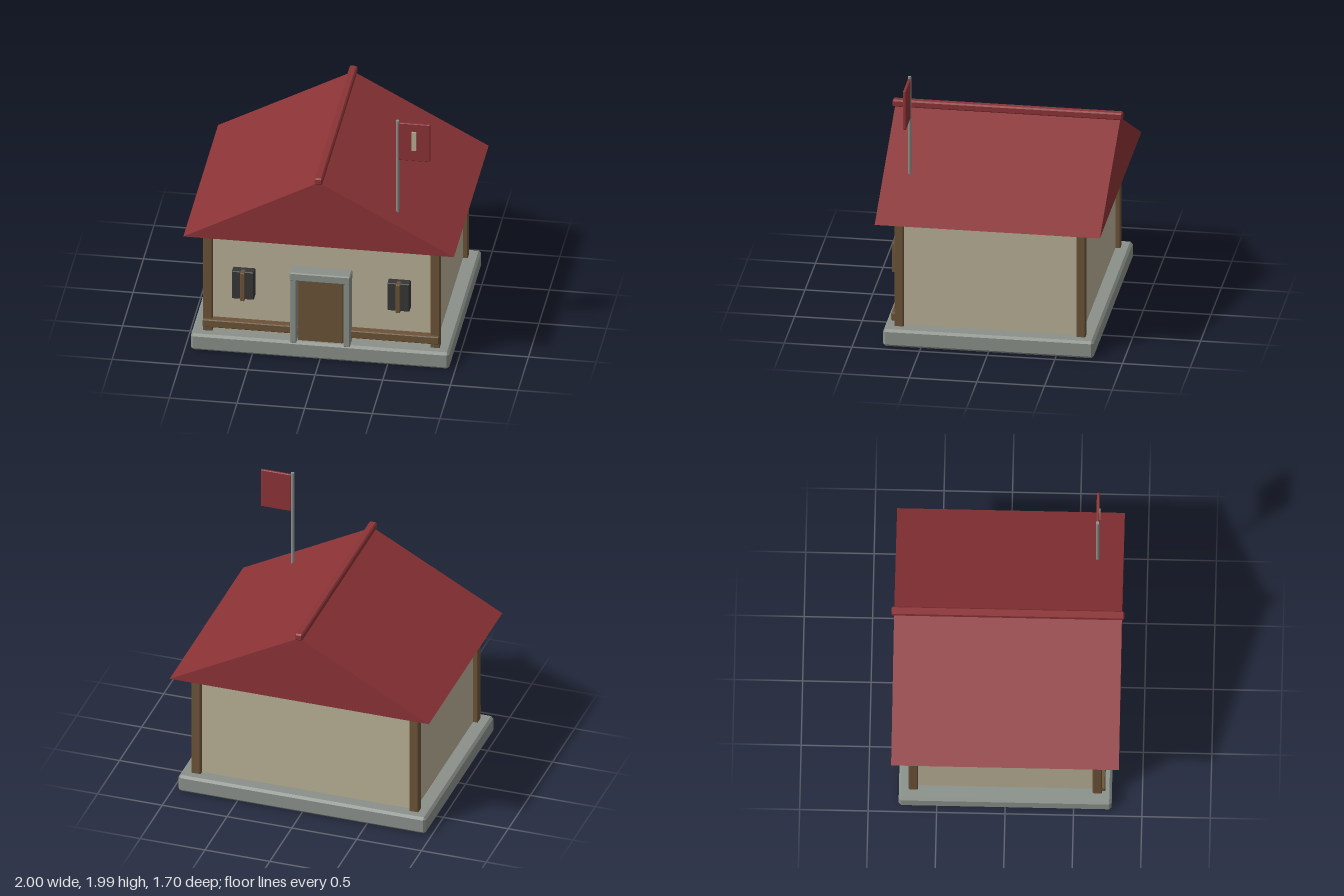
import * as THREE from 'three';
import { ConvexGeometry } from 'three/addons/geometries/ConvexGeometry.js';

function material(name, color) {
  const m = new THREE.MeshStandardMaterial({ color });
  m.name = name;
  return m;
}

// Box between two corners with chamfered edges
function chamferBox(min, max, c) {
  const centre = min.map((v, i) => (v + max[i]) / 2);
  const half = min.map((v, i) => (max[i] - v) / 2);
  const points = [];
  for (const sx of [-1, 1]) for (const sy of [-1, 1]) for (const sz of [-1, 1]) {
    const s = [sx, sy, sz];
    for (let full = 0; full < 3; full++) {
      const p = s.map((sign, i) => centre[i] + sign * (half[i] - (i === full ? 0 : c)));
      points.push(new THREE.Vector3(...p));
    }
  }
  return new ConvexGeometry(points);
}

export function createModel() {
  const model = new THREE.Group();
  model.name = 'house';

  const stone = material('stone grey', 0x8a908a);
  const plaster = material('plaster beige', 0xb7af95);
  const wood = material('wood brown', 0x6b5338);
  const red = material('roof red', 0x8b3336);
  const dark = material('window dark', 0x363636);

  const add = (name, geometry, mat) => {
    const mesh = new THREE.Mesh(geometry, mat);
    mesh.name = name;
    model.add(mesh);
    return mesh;
  };
  const box = (name, mat, min, max, chamfer = 0.006) => add(name, chamferBox(min, max, chamfer), mat);

  // Foundation and walls
  box('foundation', stone, [-0.955, 0, -0.778], [0.955, 0.135, 0.778], 0.018);
  box('walls', plaster, [-0.84, 0.12, -0.67], [0.84, 0.99, 0.67], 0.002);

  // Corner posts
  for (const x of [-0.84, 0.84]) for (const z of [-0.672, 0.672]) {
    box('cornerPost', wood, [x - 0.035, 0.12, z - 0.034], [x + 0.035, 0.99, z + 0.034]);
  }

  // Front beams
  box('topBeam', wood, [-0.873, 0.93, 0.66], [0.873, 0.995, 0.73]);
  box('lowerRail', wood, [-0.873, 0.175, 0.66], [0.873, 0.237, 0.73]);

  // Door with stone frame
  box('door', wood, [-0.168, 0.13, 0.66], [0.168, 0.645, 0.745]);
  for (const s of [-1, 1]) {
    box('doorJamb', stone, [s * 0.198 - 0.025, 0.12, 0.66], [s * 0.198 + 0.025, 0.7, 0.774]);
  }
  box('doorLintel', stone, [-0.225, 0.645, 0.66], [0.225, 0.713, 0.778], 0.008);

  // Windows with a centre bar
  for (const x of [-0.575, 0.575]) {
    box('window', dark, [x - 0.082, 0.437, 0.65], [x + 0.082, 0.667, 0.737]);
    box('windowBar', wood, [x - 0.016, 0.437, 0.7], [x + 0.016, 0.67, 0.768], 0.004);
  }

  // Solid gable roof with ridge cap
  const gable = new THREE.Shape([
    new THREE.Vector2(-1, 0.982), new THREE.Vector2(1, 0.982), new THREE.Vector2(0, 1.52),
  ]);
  const roof = new THREE.ExtrudeGeometry(gable, { depth: 1.664, bevelEnabled: false });
  roof.translate(0, 0, -0.832);
  add('roof', roof, red);
  box('ridgeCap', red, [-0.029, 1.507, -0.85], [0.029, 1.563, 0.85], 0.01);

  // Flag on a pole
  const pole = new THREE.CylinderGeometry(0.013, 0.013, 0.775, 10);
  pole.translate(0.554, 1.5975, 0.642);
  add('flagPole', pole, stone);
  box('flag', red, [0.562, 1.66, 0.632], [0.795, 1.97, 0.653], 0.004);
  box('flagStripe', plaster, [0.66, 1.748, 0.652], [0.695, 1.907, 0.661], 0.002);

  return model;
}
